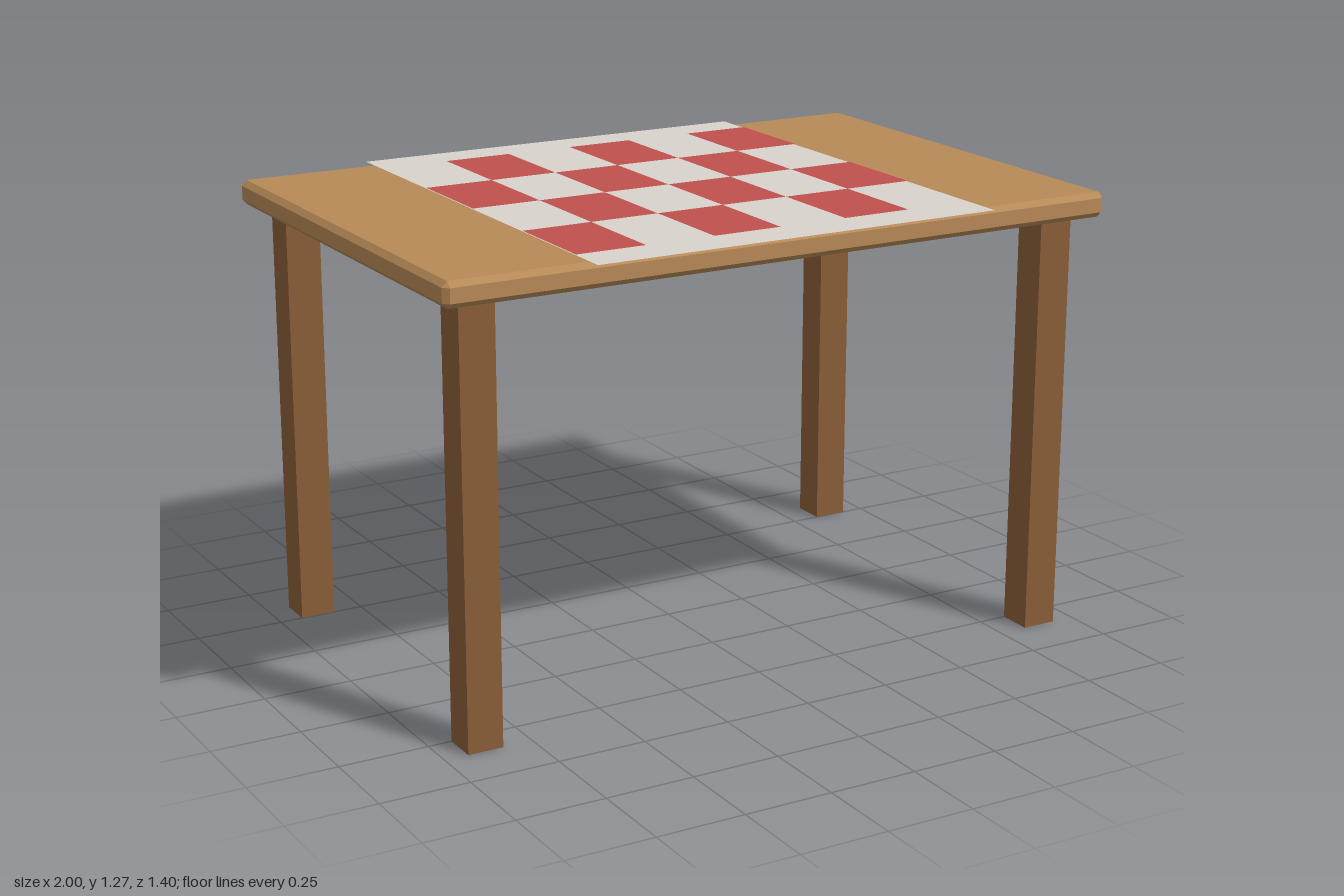
import * as THREE from 'three';
import { ConvexGeometry } from 'three/addons/geometries/ConvexGeometry.js';

const material = (color, extra = {}) => new THREE.MeshStandardMaterial({ color, ...extra });

function addMesh(parent, name, geometry, mat, x, y, z) {
  const mesh = new THREE.Mesh(geometry, mat);
  mesh.name = name;
  mesh.position.set(x, y, z);
  parent.add(mesh);
  return mesh;
}

// Box with every edge and corner cut flat by c
function chamferedBox(w, h, d, c) {
  const points = [];
  for (const sx of [-1, 1]) for (const sy of [-1, 1]) for (const sz of [-1, 1]) {
    for (let face = 0; face < 3; face++) {
      const [x, y, z] = [w, h, d].map((size, axis) => size / 2 - (axis === face ? 0 : c));
      points.push(new THREE.Vector3(sx * x, sy * y, sz * z));
    }
  }
  return new ConvexGeometry(points);
}

// Flat rectangle facing up
const sheet = (w, d) => new THREE.PlaneGeometry(w, d).rotateX(-Math.PI / 2);

export function createModel() {
  const model = new THREE.Group();
  model.name = 'table';

  const topWood = material(0xb88a58, { flatShading: true });
  const legWood = material(0x8b5e38);
  const white = material(0xd8d3cb, { side: THREE.DoubleSide });
  const red = material(0xc0504d, { side: THREE.DoubleSide });

  // Bevelled tabletop
  addMesh(model, 'tabletop', chamferedBox(2, 0.07, 1.33, 0.015), topWood, 0, 1.235, 0);

  // Four square legs
  const legGeometry = new THREE.BoxGeometry(0.1, 1.2, 0.1);
  for (const [sx, side] of [[-1, 'Right'], [1, 'Left']]) {
    for (const [sz, end] of [[1, 'front'], [-1, 'back']]) {
      addMesh(model, `${end}${side}Leg`, legGeometry, legWood, sx * 0.884, 0.6, sz * 0.55);
    }
  }

  // Tablecloth overhanging front and back
  const cloth = new THREE.Group();
  cloth.name = 'tablecloth';
  model.add(cloth);
  addMesh(cloth, 'clothSheet', sheet(1.2, 1.4), white, 0, 1.272, 0);

  // Red checks, alternating by row and column
  const cellX = 0.2, cellZ = 0.2925;
  const checkGeometry = sheet(cellX, cellZ);
  for (let row = 0; row < 4; row++) {
    for (let col = 0; col < 6; col++) {
      if ((row + col) % 2 === 0) continue;
      addMesh(cloth, 'redCheck', checkGeometry, red, (col - 2.5) * cellX, 1.274, (row - 1.5) * cellZ);
    }
  }
  return model;
}
